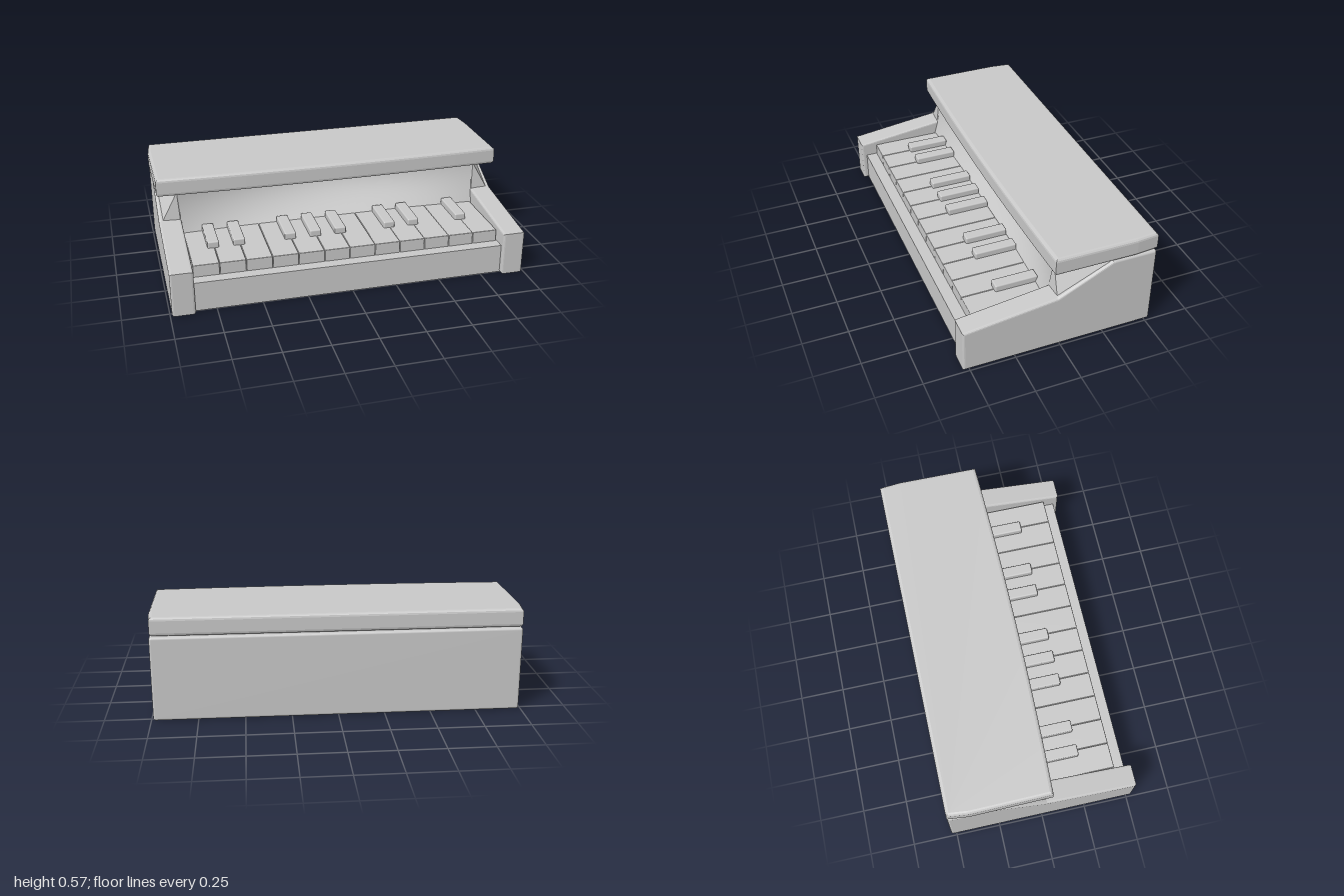
import * as THREE from 'three';
import { RoundedBoxGeometry } from 'three/addons/geometries/RoundedBoxGeometry.js';
import { ConvexGeometry } from 'three/addons/geometries/ConvexGeometry.js';

const grey = new THREE.MeshStandardMaterial({ color: 0xc8c8c8 });
grey.name = 'grey';

export function createModel() {
  const model = new THREE.Group();
  model.name = 'toyPiano';

  function add(name, geometry, x = 0, y = 0, z = 0) {
    const mesh = new THREE.Mesh(geometry, grey);
    mesh.name = name;
    mesh.position.set(x, y, z);
    model.add(mesh);
    return mesh;
  }

  // Extrudes a [z, y] profile along x, centred, with bevels kept inside the given size
  function sideExtrude(points, width, bevel) {
    const shape = new THREE.Shape(points.map(([z, y]) => new THREE.Vector2(z, y)));
    const geometry = new THREE.ExtrudeGeometry(shape, {
      depth: width - 2 * bevel, bevelEnabled: bevel > 0, bevelThickness: bevel,
      bevelSize: bevel, bevelOffset: -bevel, bevelSegments: 3,
    });
    geometry.translate(0, 0, bevel - width / 2);
    geometry.rotateY(-Math.PI / 2);
    return geometry;
  }

  // Rear body, full width
  add('rearBody', new RoundedBoxGeometry(1.98, 0.465, 0.25, 3, 0.014), 0, 0.2325, -0.405);

  // Core between the cheeks, with the key bed and front rail
  add('core', sideExtrude([
    [-0.45, 0.002], [0.505, 0.002], [0.505, 0.168], [0.03, 0.168],
    [-0.14, 0.23], [-0.14, 0.46], [-0.45, 0.46],
  ], 1.76, 0.008));

  // Cheeks with a sloping arm, and the tapering post that carries the lid
  for (const side of [1, -1]) {
    const name = side > 0 ? 'left' : 'right';
    add(name + 'Cheek', sideExtrude([
      [-0.45, 0], [0.533, 0], [0.533, 0.248], [0.02, 0.313], [-0.28, 0.463], [-0.45, 0.463],
    ], 0.125, 0.012), side * 0.9275);
    const post = [
      [0.98, 0.29, 0.018], [0.98, 0.455, -0.285], [0.98, 0.28, -0.28],
      [0.88, 0.47, 0.0], [0.85, 0.47, -0.03], [0.85, 0.47, -0.3],
      [0.866, 0.23, 0.03], [0.85, 0.23, -0.3], [0.96, 0.47, -0.29],
    ].map(([x, y, z]) => new THREE.Vector3(side * x, y, z));
    add(name + 'Post', new ConvexGeometry(post));
  }

  // Curved panel behind the keys, leaning back and hollowed towards the middle
  const panel = new THREE.PlaneGeometry(1.75, 0.27, 32, 10);
  const p = panel.attributes.position;
  for (let i = 0; i < p.count; i++) {
    const x = p.getX(i);
    const v = p.getY(i) / 0.27 + 0.5;
    const middle = Math.cos((x / 0.875) * Math.PI / 2);
    p.setXYZ(i, x, 0.2 + 0.27 * v, 0.05 - (0.05 + 0.12 * middle) * Math.sin(v * Math.PI / 2));
  }
  panel.computeVertexNormals();
  add('backPanel', panel);

  // Lid with a slightly bowed front edge
  const outline = new THREE.Shape();
  outline.moveTo(-0.985, 0.53);
  outline.lineTo(0.985, 0.53);
  outline.lineTo(0.996, 0.41);
  outline.lineTo(0.993, -0.043);
  outline.quadraticCurveTo(0, -0.083, -0.993, -0.043);
  outline.lineTo(-0.998, 0.41);
  outline.closePath();
  const lid = new THREE.ExtrudeGeometry(outline, {
    depth: 0.066, bevelEnabled: true, bevelThickness: 0.018, bevelSize: 0.018,
    bevelOffset: -0.018, bevelSegments: 3, curveSegments: 16,
  });
  lid.rotateX(-Math.PI / 2);
  add('lid', lid, 0, 0.488, 0);
  // Spacer joining lid and body
  add('lidSeat', new THREE.BoxGeometry(1.7, 0.03, 0.3), 0, 0.465, -0.35);

  // White keys
  const pitch = 0.1433;
  for (let i = 0; i < 12; i++) {
    add('whiteKey', new RoundedBoxGeometry(pitch - 0.002, 0.075, 0.42, 2, 0.004),
      (i - 5.5) * pitch, 0.1985, 0.23);
  }

  // Raised keys, sitting over the joints between white keys
  for (const joint of [-5, -4, -2, -1, 0, 2, 3, 5]) {
    add('blackKey', new RoundedBoxGeometry(0.064, 0.06, 0.24, 2, 0.008),
      joint * pitch - 0.006, 0.242, 0.14);
  }

  return model;
}
